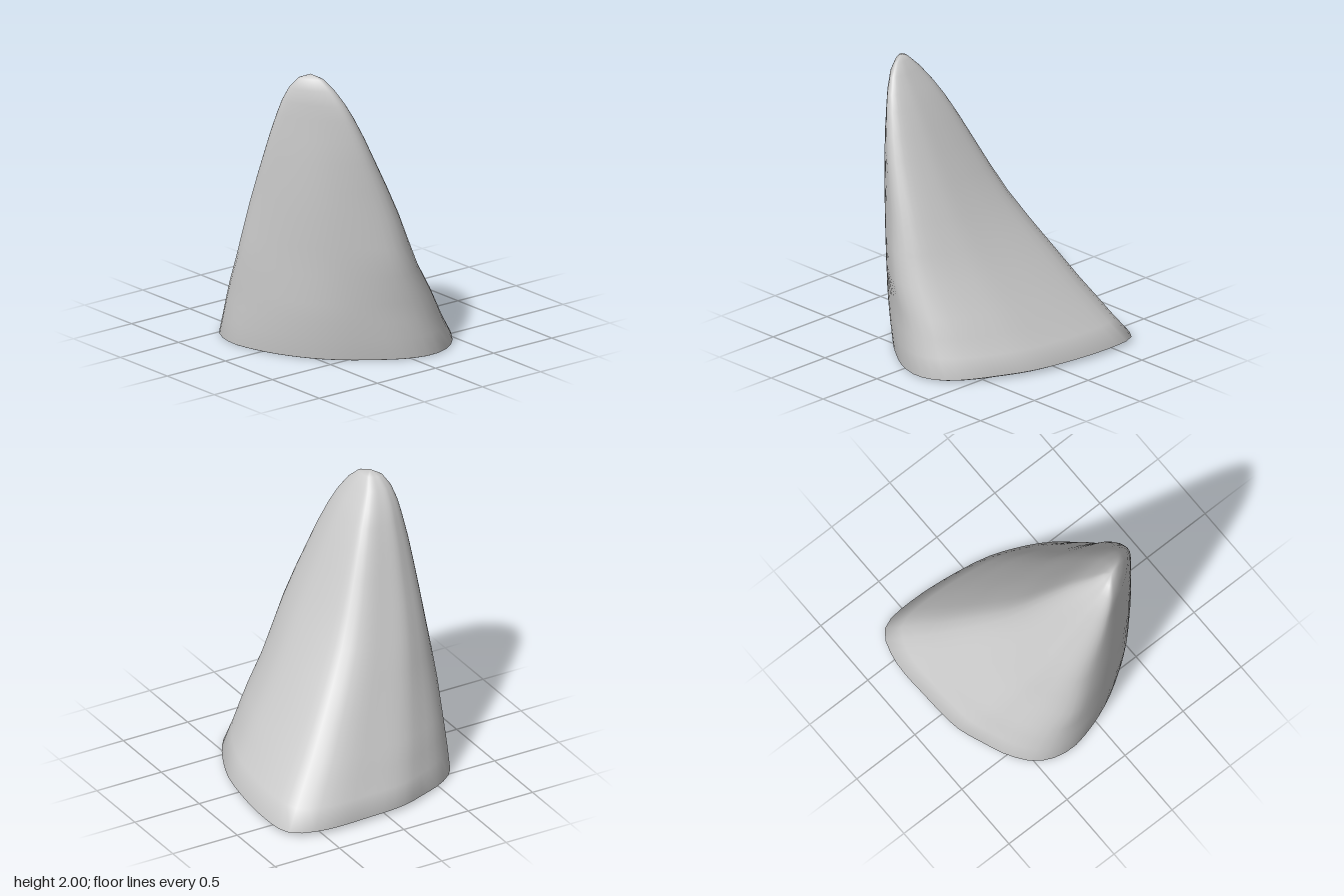
import * as THREE from 'three';

// Base outline, clockwise from above: x, z
const OUTLINE = [
  [-0.78, -0.2], [-0.785, -0.4], [-0.765, -0.55], [-0.705, -0.69], [-0.62, -0.735], [-0.45, -0.748],
  [-0.2, -0.735], [0.16, -0.675], [0.36, -0.6], [0.55, -0.5], [0.69, -0.39], [0.765, -0.27],
  [0.78, -0.15], [0.75, -0.02], [0.67, 0.17], [0.5, 0.43], [0.33, 0.58], [0.1, 0.69],
  [-0.18, 0.74], [-0.37, 0.72], [-0.5, 0.65], [-0.61, 0.51], [-0.69, 0.33], [-0.755, 0.15],
];
// Sections, measured across (u) and toward (v) the broad front face:
// height, u centre, u scale, v of the two front corners, v scale behind them, v scale ahead of them,
// sideways shear of the back ridge, flattening of the front
const SECTIONS = [
  [0, 0.02, 1, 0.35, 1, 1, 0, 0.05],
  [0.15, 0.02, 0.95, 0.385, 0.937, 0.88, 0.005, 0.03],
  [0.4, 0.024, 0.87, 0.43, 0.797, 0.72, 0.02, 0.005],
  [0.6, 0.03, 0.79, 0.49, 0.715, 0.52, 0.035, 0],
  [1, 0.033, 0.655, 0.525, 0.495, 0.45, 0.045, 0],
  [1.4, 0.027, 0.485, 0.585, 0.355, 0.26, 0.045, 0],
  [1.7, 0.013, 0.34, 0.615, 0.24, 0.13, 0.035, 0],
  [1.9, -0.01, 0.2, 0.617, 0.122, 0.08, 0.015, 0],
  [1.97, -0.022, 0.11, 0.602, 0.06, 0.04, 0, 0],
];
const HEIGHTS = [0.15, 0.27, 0.4, 0.6, 0.8, 1, 1.2, 1.4, 1.55, 1.7, 1.8, 1.9, 1.97];
const APEX = [0.29, 2, 0.5];
const CORNER = SECTIONS[0][3];
const SIDES = 56;
const COS = Math.cos(THREE.MathUtils.degToRad(33));
const SIN = Math.sin(THREE.MathUtils.degToRad(33));

const sections = new THREE.CubicInterpolant(
  SECTIONS.map((s) => s[0]), SECTIONS.flatMap((s) => s.slice(1)), 7);

// Point of the wall at height y above outline point p
function wallPoint(p, y) {
  const [centre, across, corner, behind, ahead, shear, flat] = sections.evaluate(y);
  const u = p.x * COS - p.z * SIN, v = p.x * SIN + p.z * COS - CORNER;
  const u2 = centre + (u - SECTIONS[0][1]) * across + Math.min(v, 0) * shear;
  const dent = v > 0 ? flat * Math.max(0, 1 - (u / 0.6) ** 2) : 0;
  const v2 = corner + v * (v > 0 ? ahead : behind) - dent;
  return [u2 * COS + v2 * SIN, y, v2 * COS - u2 * SIN];
}

function leaningCone() {
  const curve = new THREE.CatmullRomCurve3(OUTLINE.map(([x, z]) => new THREE.Vector3(x, 0, z)), true);
  const base = curve.getSpacedPoints(SIDES).slice(0, SIDES);
  const edge = [], rim = [], walls = [], index = [];

  // Inset underside edge, and the rim, slightly raised at the back
  for (const p of base) {
    const lean = THREE.MathUtils.clamp((CORNER - p.x * SIN - p.z * COS) / 0.6, 0, 1);
    const [x, , z] = wallPoint(p, 0);
    const s = 0.99 - 0.06 * lean;
    edge.push(x * s, 0, z * s);
    rim.push(x, 0.004 + 0.021 * lean, z);
  }
  // Wall sections
  for (const y of HEIGHTS) {
    for (const p of base) walls.push(...wallPoint(p, y));
  }
  const positions = [...edge, ...rim, ...walls, ...APEX, 0, 0, 0];
  const rings = HEIGHTS.length + 2;
  const tip = rings * SIDES, foot = tip + 1;

  for (let i = 0; i < SIDES; i++) {
    const n = (i + 1) % SIDES;
    for (let j = 0; j < rings - 1; j++) {
      const a = j * SIDES + i, b = j * SIDES + n;
      const c = b + SIDES, d = a + SIDES;
      index.push(a, d, c, a, c, b);
    }
    const top = (rings - 1) * SIDES;
    index.push(top + i, tip, top + n); // tip
    index.push(foot, i, n); // underside
  }
  const geometry = new THREE.BufferGeometry();
  geometry.setAttribute('position', new THREE.Float32BufferAttribute(positions, 3));
  geometry.setIndex(index);
  geometry.computeVertexNormals();
  return geometry;
}

export function createModel() {
  const group = new THREE.Group();
  const cone = new THREE.Mesh(leaningCone(), new THREE.MeshStandardMaterial({ color: 0xcccccc }));
  cone.name = 'leaningCone';
  group.add(cone);
  return group;
}
